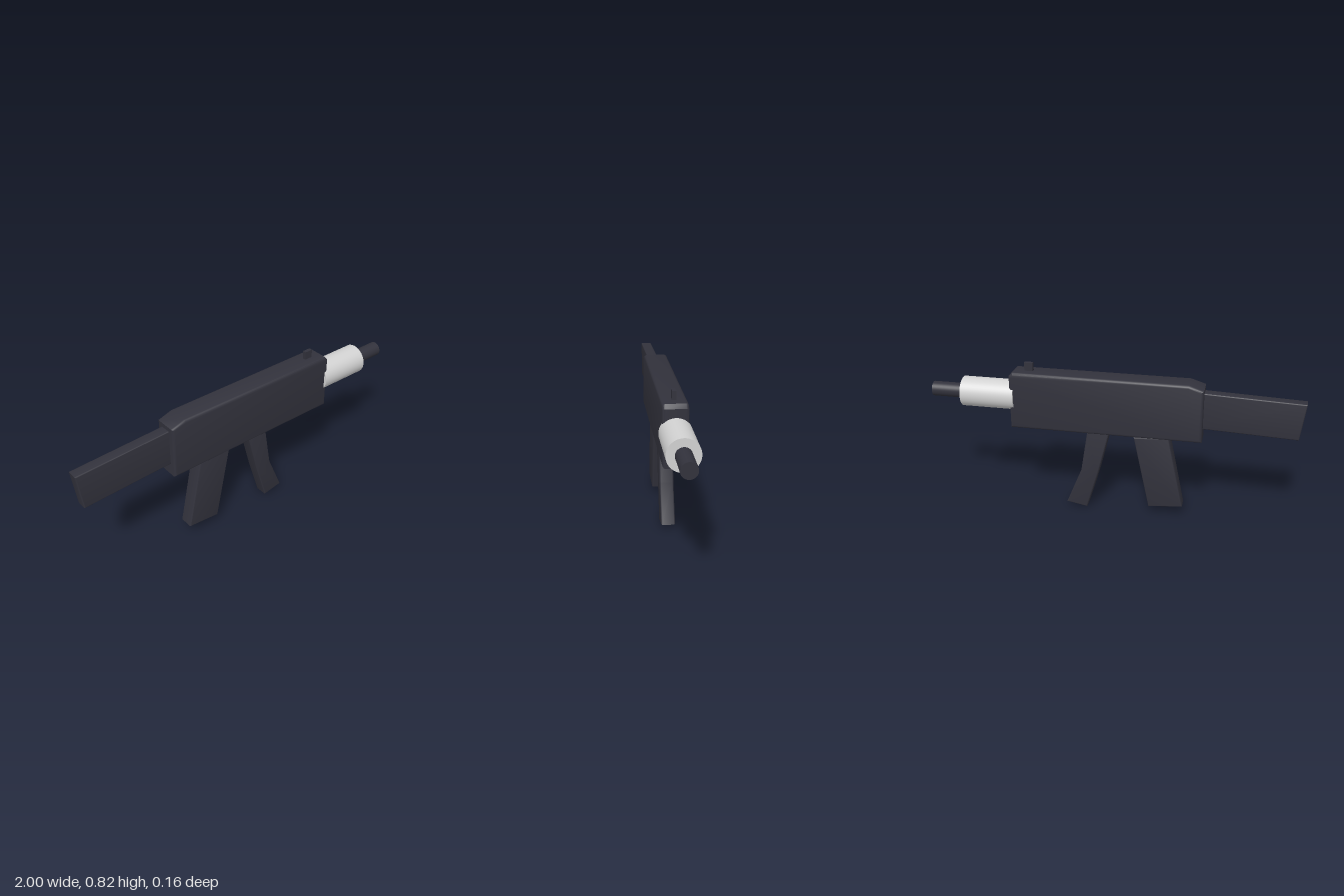
import * as THREE from 'three';
import { toCreasedNormals } from 'three/addons/utils/BufferGeometryUtils.js';

export function createModel() {
  const group = new THREE.Group();
  const dark = new THREE.MeshStandardMaterial({ color: 0x32323c });
  dark.name = 'dark gunmetal';
  const light = new THREE.MeshStandardMaterial({ color: 0xd2d2d2 });
  light.name = 'light grey metal';

  function add(name, geometry, material) {
    const mesh = new THREE.Mesh(geometry, material);
    mesh.name = name;
    group.add(mesh);
    return mesh;
  }

  // Side profile extruded across z, with edges rounded inside the outline
  function slab(name, points, halfWidth, bevel) {
    const shape = new THREE.Shape(points.map(([x, y]) => new THREE.Vector2(x, y)));
    const depth = 2 * (halfWidth - bevel);
    const geometry = new THREE.ExtrudeGeometry(shape, {
      depth, bevelEnabled: true, bevelThickness: bevel, bevelSize: bevel,
      bevelOffset: -bevel, bevelSegments: 3,
    });
    geometry.translate(0, 0, -depth / 2);
    add(name, toCreasedNormals(geometry, 0.6), material(name));
  }
  const material = () => dark;

  // Cylinder lying along x
  function rod(name, x0, x1, radius, mat) {
    const geometry = new THREE.CylinderGeometry(radius, radius, x1 - x0, 48);
    geometry.rotateZ(-Math.PI / 2);
    geometry.translate((x0 + x1) / 2, 0.638, 0);
    add(name, geometry, mat);
  }

  // Main body with sloped rear top
  slab('body', [[-0.483, 0.467], [0.552, 0.467], [0.552, 0.762], [0.532, 0.782],
    [-0.405, 0.782], [-0.483, 0.757]], 0.064, 0.015);

  // Rear stock
  slab('stock', [[-1, 0.713], [-0.975, 0.514], [-0.46, 0.535], [-0.46, 0.734]], 0.03, 0.006);

  // Slanted rear grip
  slab('grip', [[-0.307, 0.47], [-0.12, 0.457], [-0.207, 0.046], [-0.392, 0.063]], 0.041, 0.007);

  // Bent magazine
  slab('magazine', [[0.01, 0.48], [0.132, 0.48], [0.17, 0.232], [0.254, 0.025],
    [0.14, 0.003], [0.075, 0.222]], 0.037, 0.007);

  // Barrel and its sleeve
  rod('barrelSleeve', 0.53, 0.825, 0.081, light);
  rod('barrel', 0.8, 1, 0.04, dark);

  // Front sight post
  add('sight', new THREE.BoxGeometry(0.046, 0.06, 0.02), dark).position.set(0.453, 0.797, 0);

  return group;
}
